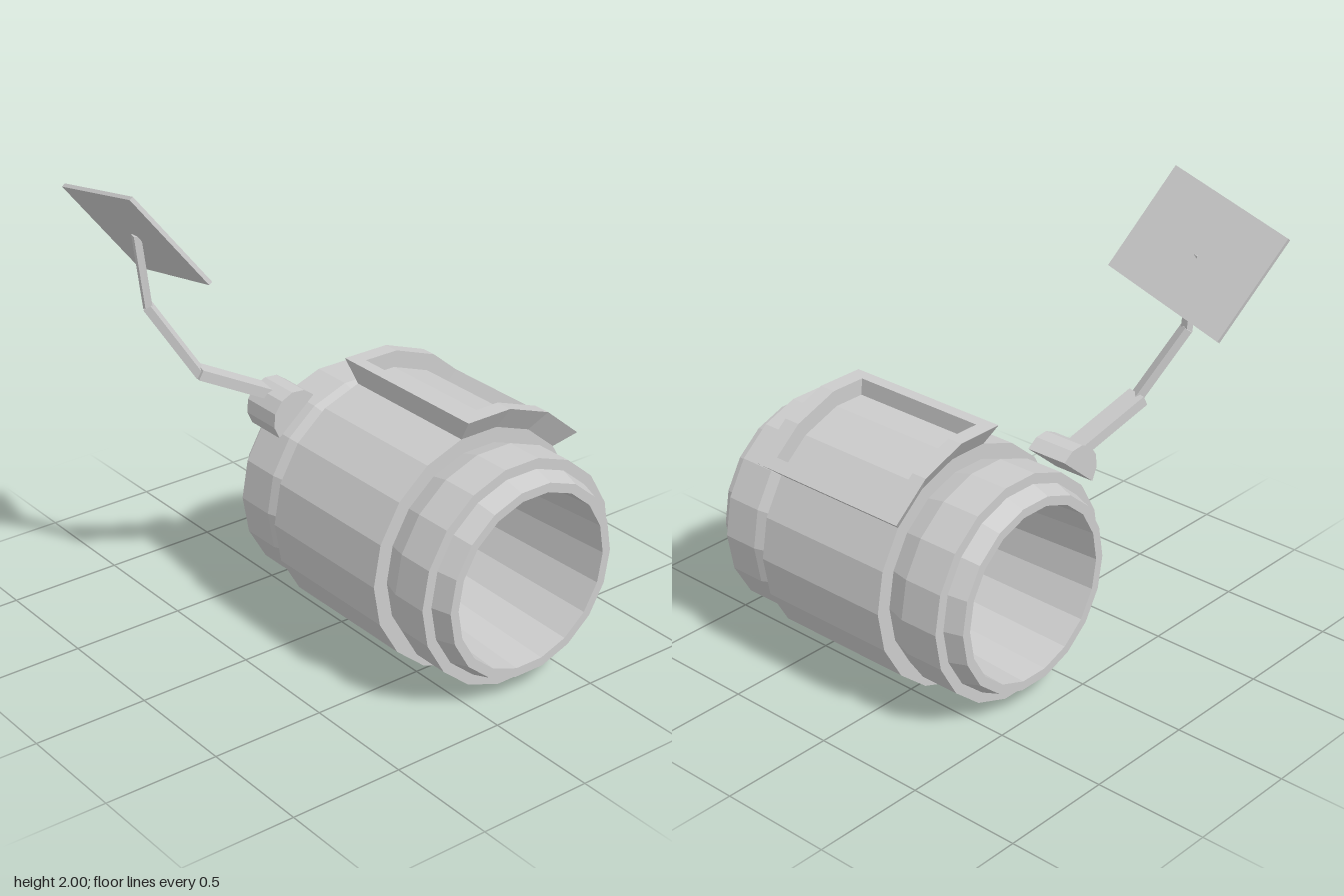
import * as THREE from 'three';

const CX = 0.25, CY = 0.517; // centre line of the barrel
const material = new THREE.MeshStandardMaterial({ color: 0xcccccc, flatShading: true });
const V = (x, y, z) => new THREE.Vector3(x, y, z);

function part(name, geometry) {
  const mesh = new THREE.Mesh(geometry, material);
  mesh.name = name;
  return mesh;
}

// Box between two points, with its width kept horizontal
function beam(name, a, b, width, thickness) {
  const along = b.clone().sub(a);
  const mesh = part(name, new THREE.BoxGeometry(thickness, along.length(), width));
  const dir = along.normalize();
  const side = dir.clone().cross(V(0, 1, 0)).normalize();
  mesh.setRotationFromMatrix(new THREE.Matrix4().makeBasis(dir.clone().cross(side), dir, side));
  mesh.position.copy(a).add(b).multiplyScalar(0.5);
  return mesh;
}

// Hollow 18-sided barrel with stepped collars
function barrel() {
  const profile = [
    [0.38, -0.45], [0.42, -0.45], [0.445, -0.37], [0.49, -0.37], [0.49, -0.19], [0.46, -0.095],
    [0.525, -0.095], [0.525, 0.56], [0.46, 0.56], [0.49, 0.65], [0.49, 0.815], [0.445, 0.815],
    [0.42, 0.9], [0.38, 0.9], [0.345, 0.225], [0.38, -0.45],
  ].map(([r, z]) => new THREE.Vector2(r, z));
  const geometry = new THREE.LatheGeometry(profile, 18, Math.PI / 18);
  geometry.rotateX(Math.PI / 2).translate(CX, CY, 0);
  return part('barrel', geometry);
}

// Flared frame with a recessed floor, following the barrel's facets
function screenFrame() {
  const rad = Math.PI / 180;
  // [radius, angle inset, back z, front z] of each loop
  const loops = [
    [0.525, 0, -0.095, 0.56], [0.623, 0, -0.16, 0.62],
    [0.623, 5, -0.09, 0.545], [0.55, 5, -0.09, 0.545],
  ].map(([r, inset, back, front]) => {
    const angles = [100 - inset, 80, 60, 40 + inset];
    const at = (deg, z) => {
      const offset = ((deg % 20) + 20) % 20 - 10; // stay on the flat facet
      const d = r * Math.cos(10 * rad) / Math.cos(offset * rad);
      return [CX + d * Math.cos(deg * rad), CY + d * Math.sin(deg * rad), z];
    };
    return [...angles.map((a) => at(a, front)), ...angles.reverse().map((a) => at(a, back))];
  });
  const index = [];
  const quad = (a, b, c, d) => index.push(a, b, c, a, c, d);
  for (let l = 0; l < 3; l++) {
    for (let i = 0; i < 8; i++) {
      const j = (i + 1) % 8;
      quad(l * 8 + i, l * 8 + j, l * 8 + 8 + j, l * 8 + 8 + i);
    }
  }
  for (let i = 0; i < 3; i++) quad(24 + i, 25 + i, 30 - i, 31 - i);
  const geometry = new THREE.BufferGeometry();
  geometry.setAttribute('position', new THREE.Float32BufferAttribute(loops.flat(2), 3));
  geometry.setIndex(index);
  geometry.computeVertexNormals();
  return part('screenFrame', geometry);
}

// Half-round pivot on the rear collar
function armPivot() {
  const shape = new THREE.Shape();
  for (let i = 0; i <= 6; i++) {
    const a = (40 + i * 30) * Math.PI / 180;
    shape[i ? 'lineTo' : 'moveTo'](-0.08 + 0.115 * Math.cos(a), 0.915 + 0.115 * Math.sin(a));
  }
  shape.closePath();
  const geometry = new THREE.ExtrudeGeometry(shape, { depth: 0.19, bevelEnabled: false });
  return part('armPivot', geometry.translate(0, 0, -0.39));
}

// Thin tilted plate at the end of the arm
function plate() {
  const long = V(0.065, -0.135, -0.605), short = V(0.275, -0.38, 0.11);
  const mesh = part('plate', new THREE.BoxGeometry(long.length(), short.length(), 0.018));
  const x = long.normalize();
  const z = x.clone().cross(short).normalize();
  mesh.setRotationFromMatrix(new THREE.Matrix4().makeBasis(x, z.clone().cross(x), z));
  mesh.position.set(-0.606, 1.74, -0.541);
  return mesh;
}

export function createModel() {
  const group = new THREE.Group();
  group.name = 'cuffWithArm';
  group.add(
    barrel(),
    screenFrame(),
    armPivot(),
    beam('lowerArm', V(-0.1, 0.98, -0.335), V(-0.42, 1.137, -0.415), 0.095, 0.045),
    beam('middleArm', V(-0.41, 1.125, -0.405), V(-0.572, 1.425, -0.53), 0.055, 0.035),
    beam('upperArm', V(-0.57, 1.41, -0.53), V(-0.606, 1.735, -0.541), 0.04, 0.03),
    plate(),
  );
  return group;
}
